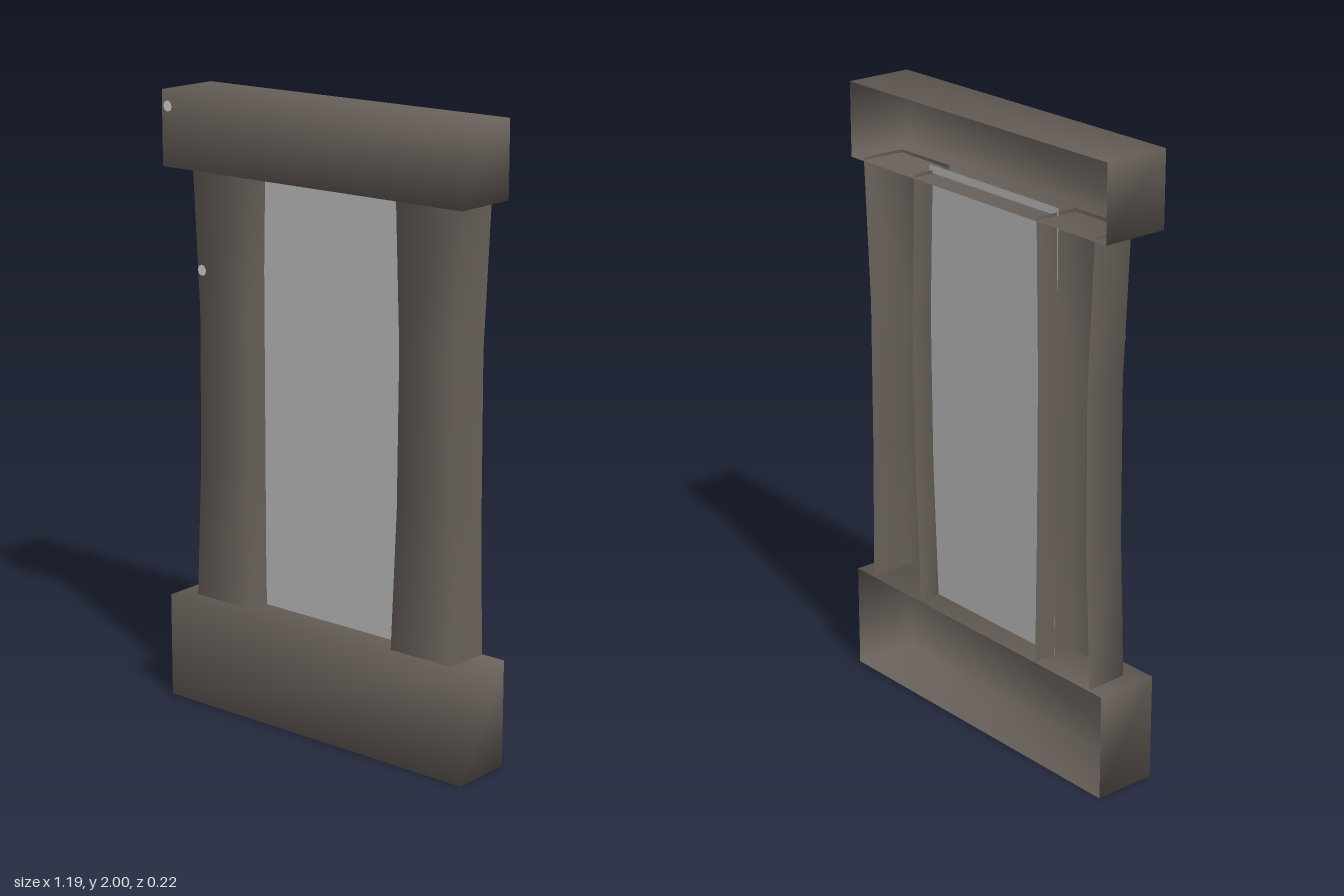
import * as THREE from 'three';

const stone = new THREE.MeshStandardMaterial({ color: 0x68605a, side: THREE.DoubleSide });
stone.name = 'brown stone';
const glass = new THREE.MeshStandardMaterial({ color: 0xbfbfbf, side: THREE.DoubleSide });
glass.name = 'grey pane';
const chipped = new THREE.MeshStandardMaterial({ color: 0xd6d6d6, side: THREE.DoubleSide });
chipped.name = 'pale chip';

// Hollow shell open at the back, with soft shared normals.
// Each row is [y, leftX, rightX]; the front may be inset a little on each side.
function openShell(name, rows, zBack, zFront, capped, inset = 0) {
  const points = [];
  const index = [];
  for (const [y, x0, x1] of rows) {
    points.push(x0, y, zBack, x0 + inset, y, zFront, x1 - inset, y, zFront, x1, y, zBack);
  }
  for (let i = 0; i < rows.length - 1; i++) {
    for (let j = 0; j < 3; j++) {
      const a = i * 4 + j;
      index.push(a, a + 1, a + 5, a, a + 5, a + 4);
    }
  }
  if (capped) {
    const t = (rows.length - 1) * 4;
    index.push(0, 2, 1, 0, 3, 2, t, t + 1, t + 2, t, t + 2, t + 3);
  }
  const geometry = new THREE.BufferGeometry();
  geometry.setAttribute('position', new THREE.Float32BufferAttribute(points, 3));
  geometry.setIndex(index);
  geometry.computeVertexNormals();
  const mesh = new THREE.Mesh(geometry, stone);
  mesh.name = name;
  return mesh;
}

export function createModel() {
  const group = new THREE.Group();
  group.name = 'stoneWindowFrame';

  // Sill and lintel
  group.add(openShell('sill', [[0, -0.595, 0.595], [0.345, -0.595, 0.595]], -0.11, 0.1, true));
  group.add(openShell('lintel', [[1.76, -0.585, 0.58], [2, -0.585, 0.58]], -0.11, 0.113, true));

  // Slightly waisted pillars
  group.add(openShell('rightPillar', [
    [0.34, -0.537, -0.29], [0.8, -0.515, -0.295], [1.3, -0.51, -0.295], [1.77, -0.533, -0.285],
  ], -0.105, 0.04, false, 0.006));
  group.add(openShell('leftPillar', [
    [0.34, 0.268, 0.515], [0.8, 0.288, 0.505], [1.3, 0.293, 0.502], [1.77, 0.276, 0.524],
  ], -0.105, 0.04, false, 0.006));

  // Window pane
  const pane = new THREE.Mesh(new THREE.PlaneGeometry(0.59, 1.47), glass);
  pane.name = 'pane';
  pane.position.set(0, 1.05, -0.03);
  group.add(pane);

  // Small chips, visible on both faces of the shell
  for (const [x, y, z] of [[-0.56, 1.95, 0.113], [-0.492, 1.43, 0.04]]) {
    for (const side of [1, -1]) {
      const chip = new THREE.Mesh(new THREE.CircleGeometry(0.018, 8), chipped);
      chip.name = 'chip';
      chip.position.set(x, y, z + side * 0.002);
      if (side < 0) chip.rotation.y = Math.PI;
      group.add(chip);
    }
  }
  return group;
}
